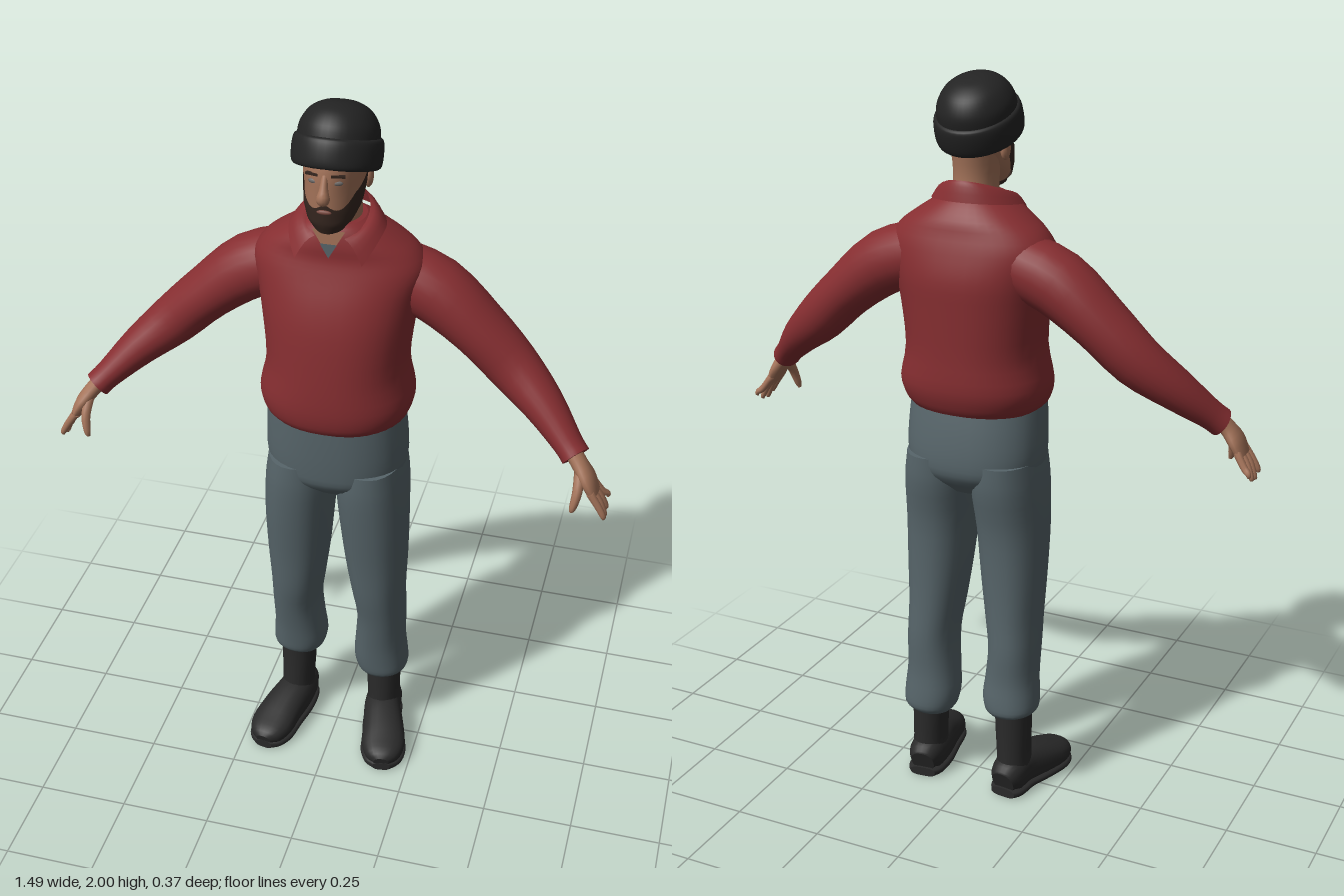
import * as THREE from 'three';

const V = (x, y, z) => new THREE.Vector3(x, y, z);
const mat = (name, color, side = THREE.FrontSide) => {
  const m = new THREE.MeshStandardMaterial({ color, side });
  m.name = name;
  return m;
};

// Smooth skin over oval rings [x, y, z, halfWidth, halfDepth].
// "ref" is the depth direction; "flat" keeps every ring horizontal.
function loft(rings, { seg = 24, steps = 3, pow = 2, ref = V(0, 0, 1), flat = false } = {}) {
  const path = new THREE.CatmullRomCurve3(rings.map(r => V(r[0], r[1], r[2])), false, 'catmullrom');
  const size = new THREE.CatmullRomCurve3(rings.map(r => V(r[3], r[4], 0)), false, 'catmullrom');
  const n = (rings.length - 1) * steps, pos = [], idx = [];
  const bend = c => Math.sign(c) * Math.abs(c) ** (2 / pow);
  const up = V(0, Math.sign(rings.at(-1)[1] - rings[0][1]), 0);
  for (let i = 0; i <= n; i++) {
    const c = path.getPoint(i / n), s = size.getPoint(i / n);
    const t = flat ? up : path.getTangent(i / n);
    const v = ref.clone().addScaledVector(t, -ref.dot(t)).normalize();
    const u = v.clone().cross(t);
    for (let j = 0; j < seg; j++) {
      const a = (j / seg) * Math.PI * 2;
      const p = c.clone().addScaledVector(u, s.x * bend(Math.cos(a))).addScaledVector(v, s.y * bend(Math.sin(a)));
      pos.push(p.x, p.y, p.z);
    }
  }
  for (let i = 0; i < n; i++) for (let j = 0; j < seg; j++) {
    const a = i * seg + j, b = i * seg + (j + 1) % seg;
    idx.push(a, b, b + seg, a, b + seg, a + seg);
  }
  // end caps with their own vertices
  for (const end of [0, n]) {
    const base = pos.length / 3, c = path.getPoint(end / n);
    pos.push(...pos.slice(end * seg * 3, (end + 1) * seg * 3), c.x, c.y, c.z);
    for (let j = 0; j < seg; j++) {
      const a = base + j, b = base + (j + 1) % seg;
      idx.push(base + seg, ...(end ? [a, b] : [b, a]));
    }
  }
  return grid(pos, idx);
}

function grid(pos, idx) {
  const g = new THREE.BufferGeometry();
  g.setAttribute('position', new THREE.Float32BufferAttribute(pos, 3));
  g.setIndex(idx);
  g.computeVertexNormals();
  return g;
}

// Open sheet from a rule f(u, v) -> Vector3
function sheet(f, nu, nv) {
  const pos = [], idx = [];
  for (let i = 0; i <= nu; i++) for (let j = 0; j <= nv; j++) {
    pos.push(...f(i / nu, j / nv).toArray());
    if (i < nu && j < nv) {
      const a = i * (nv + 1) + j, b = a + nv + 1;
      idx.push(a, b, b + 1, a, b + 1, a + 1);
    }
  }
  return grid(pos, idx);
}

const HEAD = [
  [0, 1.708, 0.072, 0.028, 0.032], [0, 1.735, 0.064, 0.05, 0.052], [0, 1.77, 0.04, 0.066, 0.079],
  [0, 1.82, 0.014, 0.074, 0.108], [0, 1.86, 0.008, 0.078, 0.115], [0, 1.9, 0, 0.08, 0.115], [0, 1.94, 0, 0.07, 0.09],
];
function headPoint(y, angle, grow) {
  let i = 0;
  while (i < HEAD.length - 2 && HEAD[i + 1][1] < y) i++;
  const k = (y - HEAD[i][1]) / (HEAD[i + 1][1] - HEAD[i][1]);
  const [cz, rx, rz] = [2, 3, 4].map(c => THREE.MathUtils.lerp(HEAD[i][c], HEAD[i + 1][c], k));
  return V((rx + grow) * Math.sin(angle), y, cz + (rz + grow) * Math.cos(angle));
}

export function createModel() {
  const man = new THREE.Group();
  man.name = 'man';
  const red = mat('red shirt', 0x862e31, THREE.DoubleSide), grey = mat('grey trousers', 0x57656a);
  const black = mat('black boots', 0x2a2a2a), wool = mat('dark wool', 0x232323, THREE.DoubleSide);
  const skin = mat('skin', 0xa5745a), hair = mat('dark brown hair', 0x35261f, THREE.DoubleSide);
  const lip = mat('lips', 0x7b4a40), eyeCol = mat('eyes', 0x6f6b69);
  const add = (name, geo, m, parent = man) => {
    const mesh = new THREE.Mesh(geo, m);
    mesh.name = name;
    parent.add(mesh);
    return mesh;
  };

  // shirt body
  add('shirtBody', loft([
    [0, 1.138, -0.005, 0.178, 0.148], [0, 1.16, -0.006, 0.195, 0.16], [0, 1.21, -0.01, 0.205, 0.17],
    [0, 1.3, -0.012, 0.187, 0.167], [0, 1.42, -0.02, 0.198, 0.161], [0, 1.5, -0.03, 0.212, 0.151],
    [0, 1.57, -0.035, 0.226, 0.13], [0, 1.615, -0.035, 0.203, 0.115], [0, 1.65, -0.03, 0.16, 0.108],
    [0, 1.69, -0.02, 0.1, 0.088], [0, 1.705, -0.018, 0.07, 0.07],
  ], { seg: 40, pow: 2.25, flat: true }), red);

  // folded collar, open at the front
  add('collar', sheet((u, v) => {
    const a = THREE.MathUtils.lerp(0.5, Math.PI * 2 - 0.5, u), c = Math.cos(a);
    const b = THREE.MathUtils.lerp(0.78, Math.PI * 2 - 0.78, u), d = Math.cos(b);
    const top = V(0.078 * Math.sin(a), 1.712 - 0.035 * c, -0.008 + 0.095 * c);
    const low = V(0.122 * Math.sin(b), 1.68 - 0.12 * Math.max(0, d) ** 2 - 0.015 * Math.min(0, d), -0.005 + 0.135 * d + (d < 0 ? -0.02 * d : 0));
    return top.lerp(low, v).add(V(0, 0.012 * Math.sin(v * Math.PI), 0));
  }, 40, 4), red);

  // open neck with the undershirt below it
  const wedge = (w, y0, y1) => new THREE.ShapeGeometry(new THREE.Shape(
    [[-w, y1], [0, y0], [w, y1]].map(p => new THREE.Vector2(...p))));
  add('openNeck', wedge(0.042, -0.03, 0.045), skin).position.set(0, 1.66, 0.085);
  add('undershirt', wedge(0.022, -0.031, 0.008), grey).position.set(0, 1.66, 0.088);

  // trouser seat
  add('trouserSeat', loft([
    [0, 0.9, -0.01, 0.09, 0.085], [0, 0.95, -0.01, 0.17, 0.135], [0, 1, -0.01, 0.19, 0.145],
    [0, 1.08, -0.004, 0.19, 0.143], [0, 1.16, 0.004, 0.184, 0.136],
  ], { seg: 36, pow: 2.3, flat: true }), grey);

  for (const s of [1, -1]) {
    const side = s > 0 ? 'left' : 'right';
    const flip = rings => rings.map(([x, ...r]) => [x * s, ...r]);
    const part = (name, rings, m, opt) => add(side + name, loft(flip(rings), opt), m);

    // sleeve
    part('Sleeve', [
      [0.12, 1.545, -0.055, 0.085, 0.085], [0.245, 1.5, -0.053, 0.086, 0.09], [0.36, 1.41, -0.047, 0.073, 0.084],
      [0.455, 1.32, -0.034, 0.068, 0.071], [0.545, 1.245, 0.008, 0.053, 0.061], [0.62, 1.175, 0.06, 0.038, 0.045],
      [0.648, 1.148, 0.08, 0.037, 0.043],
    ], red);

    // hand
    part('Palm', [
      [0.635, 1.165, 0.075, 0.022, 0.026], [0.66, 1.135, 0.09, 0.021, 0.028],
      [0.685, 1.1, 0.098, 0.02, 0.042], [0.705, 1.062, 0.1, 0.014, 0.04],
    ], skin, { seg: 14 });
    for (let f = 0; f < 4; f++) {
      const z = 0.069 + f * 0.021, tip = 0.052 + f * 0.028, y = [1.018, 1, 0.995, 1.005][f];
      part('Finger', [
        [0.698, 1.075, z, 0.011, 0.011], [0.722, 1.04, (z + tip) / 2, 0.01, 0.01],
        [0.736, y + 0.01, tip, 0.008, 0.008], [0.738, y, tip, 0.004, 0.004],
      ], skin, { seg: 8 });
    }
    part('Thumb', [
      [0.664, 1.12, 0.105, 0.014, 0.015], [0.666, 1.08, 0.136, 0.013, 0.013],
      [0.66, 1.04, 0.15, 0.01, 0.01], [0.656, 1.024, 0.152, 0.005, 0.005],
    ], skin, { seg: 8 });

    // trouser leg, the right cuff sitting a little higher
    part('TrouserLeg', [
      [0.12, 0.207, -0.05, 0.058, 0.062], [0.125, 0.226, -0.05, 0.074, 0.075], [0.122, 0.27, -0.046, 0.078, 0.078],
      [0.122, 0.34, -0.038, 0.072, 0.08], [0.125, 0.44, -0.03, 0.069, 0.09], [0.118, 0.54, -0.018, 0.075, 0.098],
      [0.112, 0.66, -0.01, 0.086, 0.105], [0.106, 0.8, -0.003, 0.094, 0.118], [0.099, 0.92, -0.008, 0.097, 0.136],
      [0.097, 1, -0.01, 0.088, 0.138],
    ].map(r => [r[0], r[1] + (s < 0 ? Math.max(0, 0.07 * (1 - r[1] / 0.5)) : 0), ...r.slice(2)]),
    grey, { seg: 28, pow: 2.2, flat: true });

    // boot
    part('BootShaft', [
      [0.132, 0.04, -0.045, 0.05, 0.062], [0.132, 0.11, -0.046, 0.047, 0.058],
      [0.13, 0.2, -0.047, 0.05, 0.057], [0.13, 0.28, -0.047, 0.052, 0.058],
    ], black, { flat: true });
    const foot = [
      [0.127, 0.045, -0.112, 0.034, 0.035], [0.13, 0.055, -0.085, 0.049, 0.052], [0.135, 0.06, -0.02, 0.054, 0.058],
      [0.155, 0.052, 0.05, 0.06, 0.05], [0.17, 0.042, 0.115, 0.063, 0.038],
      [0.177, 0.035, 0.158, 0.048, 0.03], [0.18, 0.03, 0.178, 0.022, 0.018],
    ];
    part('BootFoot', foot, black, { ref: V(0, 1, 0), pow: 2.3, flat: false });
    part('BootSole', foot.map(r => [r[0], 0.013, r[2], r[3] + 0.003, 0.013]), black, { ref: V(0, 1, 0), pow: 3 });

    // ear, eye and brow
    const ear = add(side + 'Ear', new THREE.SphereGeometry(1, 12, 10), skin);
    ear.scale.set(0.012, 0.03, 0.019);
    ear.position.set(s * 0.077, 1.818, -0.008);
    const eye = add(side + 'Eye', new THREE.SphereGeometry(1, 12, 8), eyeCol);
    eye.scale.set(0.013, 0.006, 0.004);
    eye.position.copy(headPoint(1.847, s * 0.42, -0.001));
    eye.rotation.y = s * 0.3;
    const brow = add(side + 'Brow', new THREE.BoxGeometry(0.034, 0.006, 0.008), hair);
    brow.position.copy(headPoint(1.866, s * 0.42, 0.001));
    brow.rotation.set(0, s * 0.3, s * -0.06);
  }

  // neck, head and nose
  add('neck', loft([[0, 1.62, -0.03, 0.062, 0.07], [0, 1.7, -0.02, 0.058, 0.066],
    [0, 1.76, -0.015, 0.058, 0.068], [0, 1.83, -0.01, 0.066, 0.085]], { flat: true }), skin);
  add('head', loft(HEAD, { seg: 32, flat: true }), skin);
  add('nose', loft([[0, 1.866, 0.114, 0.008, 0.009], [0, 1.835, 0.126, 0.011, 0.013],
    [0, 1.812, 0.133, 0.017, 0.017], [0, 1.8, 0.125, 0.012, 0.01]], { seg: 12 }), skin);

  // beard following the jaw, rising into sideburns
  add('beard', sheet((u, v) => {
    const a = THREE.MathUtils.lerp(-1.65, 1.65, u), k = Math.abs(a) / 1.65;
    const top = 1.795 - 0.02 * Math.sin(Math.min(1, k * 1.6) * Math.PI) + 0.06 * k ** 3;
    const low = 1.708 + 0.05 * k ** 3;
    return headPoint(THREE.MathUtils.lerp(low, top, v), a, 0.007 - 0.004 * v);
  }, 32, 10), hair);
  const chin = add('beardChin', new THREE.SphereGeometry(1, 18, 10), hair);
  chin.scale.set(0.04, 0.018, 0.04);
  chin.position.set(0, 1.718, 0.074);
  const mouth = add('mouth', new THREE.SphereGeometry(1, 14, 8), lip);
  mouth.scale.set(0.019, 0.006, 0.005);
  mouth.position.set(0, 1.773, 0.125);

  // knitted cap with a rolled brim, tipped back
  const cap = new THREE.Group();
  cap.name = 'knittedCap';
  cap.position.set(0, 1.884, -0.004);
  cap.rotation.x = -0.35;
  cap.scale.z = 1.12;
  man.add(cap);
  const lathe = pts => new THREE.LatheGeometry(new THREE.SplineCurve(pts.map(p => new THREE.Vector2(...p))).getPoints(24), 40);
  add('capCrown', lathe([[0.1, 0], [0.101, 0.03], [0.095, 0.062], [0.073, 0.094], [0.038, 0.112], [0, 0.116]]), wool, cap);
  add('capBrim', lathe([[0.084, -0.036], [0.1, -0.044], [0.11, -0.034], [0.112, 0], [0.108, 0.026], [0.097, 0.032]]), wool, cap);
  return man;
}
